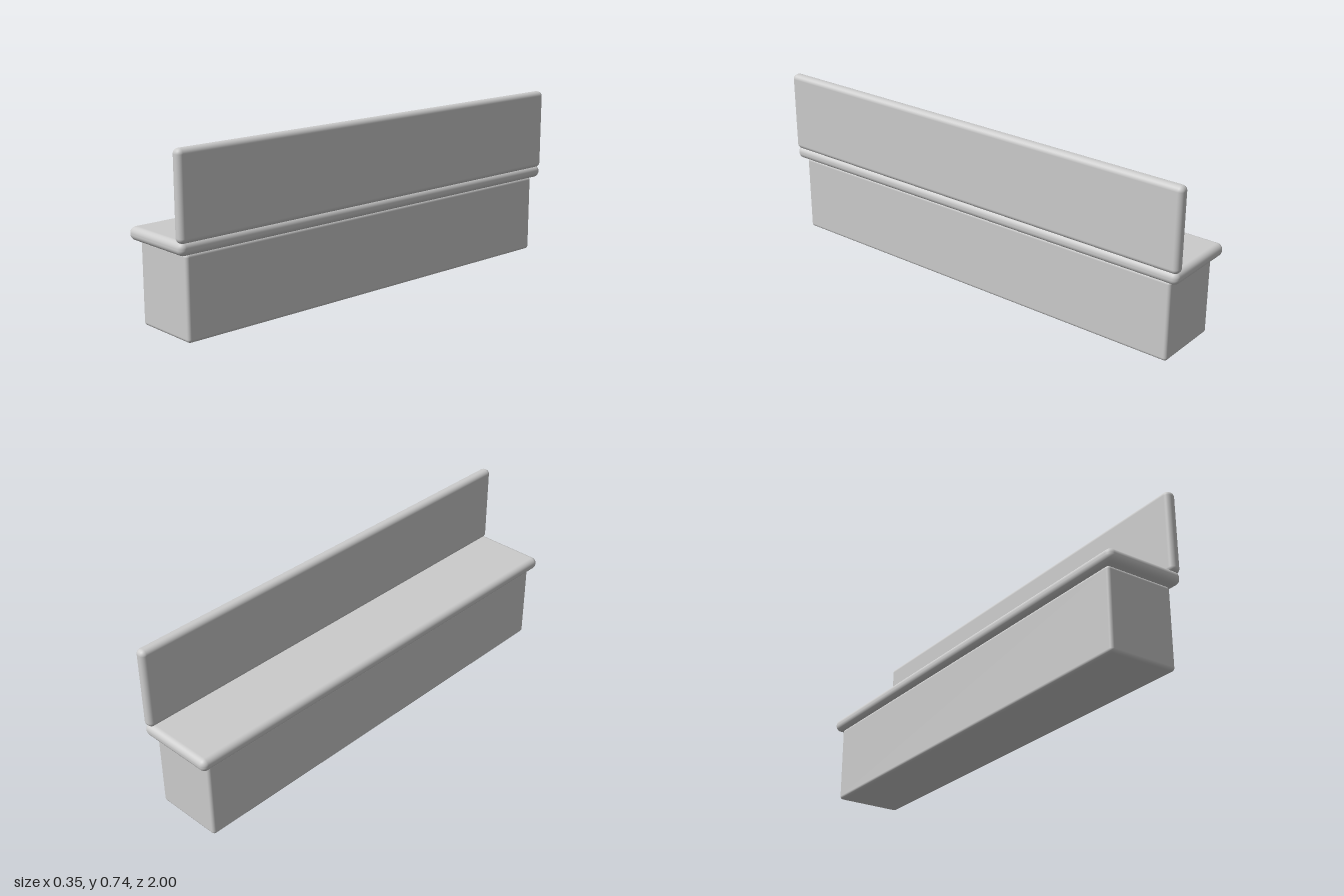
import * as THREE from 'three';
import { RoundedBoxGeometry } from 'three/addons/geometries/RoundedBoxGeometry.js';

export function createModel() {
  const bench = new THREE.Group();
  bench.name = 'bench';
  const paint = new THREE.MeshStandardMaterial({ color: 0xcccccc });
  paint.name = 'light grey';

  // Rounded slab running along z, given by its x and y limits
  function slab(name, x0, x1, y0, y1, length, radius) {
    const geometry = new RoundedBoxGeometry(x1 - x0, y1 - y0, length, 6, radius);
    const mesh = new THREE.Mesh(geometry, paint);
    mesh.name = name;
    mesh.position.set((x0 + x1) / 2, (y0 + y1) / 2, 0);
    bench.add(mesh);
  }

  slab('base', -0.151, 0.147, 0, 0.34, 1.922, 0.014);
  slab('seat', -0.174, 0.171, 0.339, 0.393, 2, 0.025);
  slab('backrest', 0.125, 0.173, 0.386, 0.735, 2, 0.021);

  return bench;
}
